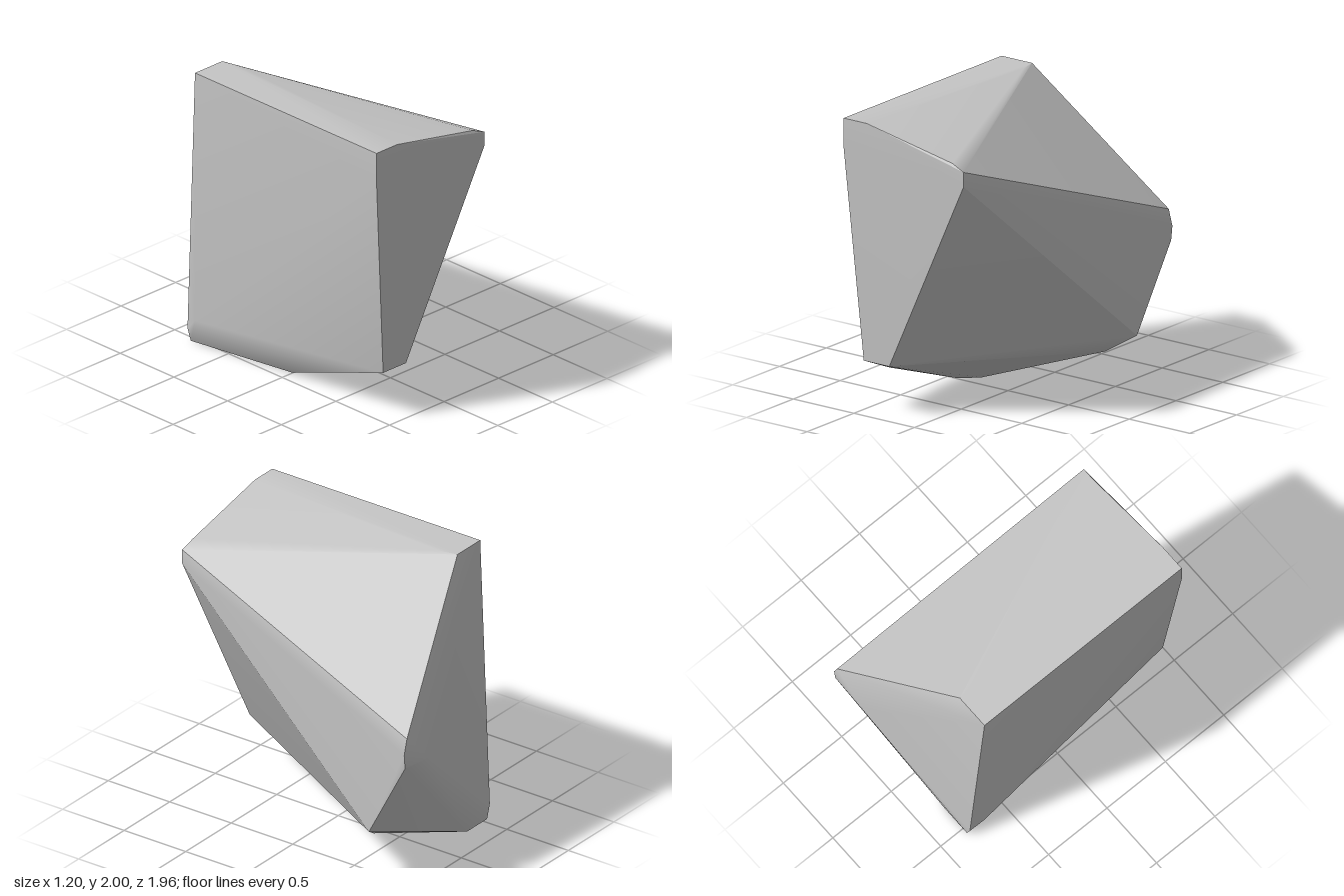
import * as THREE from 'three';
import { ConvexGeometry } from 'three/addons/geometries/ConvexGeometry.js';

// Area-weighted normals, smooth only across edges softer than the crease angle
function weightedCreasedNormals(geometry, crease) {
  const pos = geometry.attributes.position;
  const faces = [];
  const byCorner = new Map();
  const corner = (i) => new THREE.Vector3().fromBufferAttribute(pos, i);
  const key = (v) => v.toArray().map((n) => n.toFixed(4)).join();
  for (let i = 0; i < pos.count; i += 3) {
    const [a, b, c] = [corner(i), corner(i + 1), corner(i + 2)];
    const sum = b.clone().sub(a).cross(c.clone().sub(a));
    const face = { sum, unit: sum.clone().normalize(), keys: [a, b, c].map(key) };
    faces.push(face);
    for (const k of face.keys) {
      if (!byCorner.has(k)) byCorner.set(k, []);
      byCorner.get(k).push(face);
    }
  }
  const normals = [];
  for (const face of faces) {
    for (const k of face.keys) {
      const n = new THREE.Vector3();
      for (const other of byCorner.get(k)) {
        if (other.unit.dot(face.unit) > Math.cos(crease)) n.add(other.sum);
      }
      normals.push(...n.normalize().toArray());
    }
  }
  geometry.setAttribute('normal', new THREE.Float32BufferAttribute(normals, 3));
  return geometry;
}

export function createModel() {
  const group = new THREE.Group();
  group.name = 'rock';
  const stone = new THREE.MeshStandardMaterial({ color: 0xc6c6c6 });
  stone.name = 'stone grey';

  // Corners of the chipped boulder
  const corners = [
    // flat top
    [-0.6, 2, 0.98], [-0.41, 2, 0.98], [-0.6, 2, -0.71], [-0.35, 2, -0.71], [-0.32, 2, -0.58],
    // upper front right corner
    [0.29, 1.86, 0.97], [0.39, 1.82, 0.98], [0.39, 1.72, 0.98], [-0.6, 1.8, 0.98],
    // back right point
    [0.57, 1.11, -0.98], [0.6, 1.0, -0.98], [0.59, 0.9, -0.98], [0.32, 0.87, -0.98],
    // lower right corner
    [0.555, 0.32, -0.66], [0.37, 0.2, -0.56],
    // lower front edge
    [-0.48, 0.345, 0.92], [-0.27, 0.345, 0.92], [-0.37, 0.283, 0.78],
    // base
    [-0.41, 0.005, 0], [-0.31, 0, -0.12], [-0.54, 0, -0.81], [-0.32, 0, -0.81],
    // lower back left corner
    [-0.6, 0.2, -0.71], [-0.57, 0.1, -0.81],
  ].map((p) => new THREE.Vector3(...p));

  const geometry = weightedCreasedNormals(
    new ConvexGeometry(corners), THREE.MathUtils.degToRad(30));
  const boulder = new THREE.Mesh(geometry, stone);
  boulder.name = 'boulder';
  group.add(boulder);
  return group;
}
